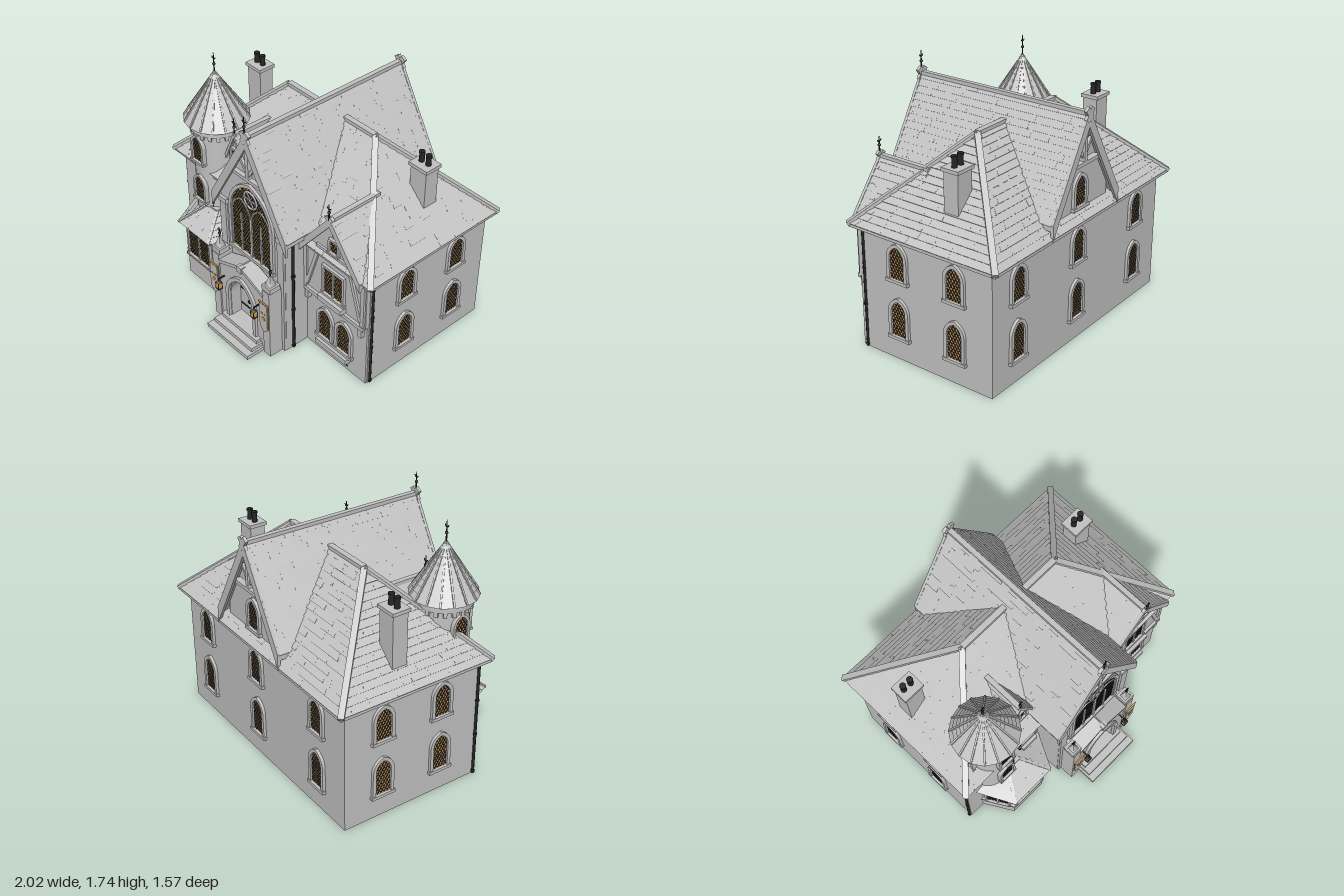
import * as THREE from 'three';
import { mergeGeometries } from 'three/addons/utils/BufferGeometryUtils.js';

const mat = (name, color) => {
  const m = new THREE.MeshStandardMaterial({ color });
  m.name = name;
  return m;
};
const V = (x, y, z) => new THREE.Vector3(x, y, z);

export function createModel() {
  const model = new THREE.Group();
  model.name = 'manorHouse';
  const stone = mat('stone', 0xc2c2c2), roofing = mat('roofTile', 0xc2c2c2);
  roofing.flatShading = true;
  const iron = mat('blackIron', 0x242424), glass = mat('amberGlass', 0xd9a051), gold = mat('goldTrim', 0xd29746);
  let seed = 7;
  const rand = () => (seed = (seed * 16807) % 2147483647) / 2147483647;

  // ---- helpers ----
  const add = (p, name, geo, m, x = 0, y = 0, z = 0) => {
    const o = new THREE.Mesh(geo, m);
    o.name = name;
    o.position.set(x, y, z);
    p.add(o);
    return o;
  };
  const group = (p, name, x = 0, y = 0, z = 0, ry = 0) => {
    const g = new THREE.Group();
    g.name = name;
    g.position.set(x, y, z);
    g.rotation.y = ry;
    p.add(g);
    return g;
  };
  const box = (p, name, m, [x0, x1], [y0, y1], [z0, z1]) =>
    add(p, name, new THREE.BoxGeometry(x1 - x0, y1 - y0, z1 - z0), m, (x0 + x1) / 2, (y0 + y1) / 2, (z0 + z1) / 2);
  const cyl = (p, name, m, r0, r1, y0, y1, x, z, n = 12) =>
    add(p, name, new THREE.CylinderGeometry(r1, r0, y1 - y0, n), m, x, (y0 + y1) / 2, z);
  // bar between two points: w is its level width, d its other thickness
  const beam = (p, name, m, a, b, w, d) => {
    const mid = a.clone().add(b).multiplyScalar(0.5);
    const o = add(p, name, new THREE.BoxGeometry(w, d, a.distanceTo(b)), m, mid.x, mid.y, mid.z);
    o.quaternion.setFromRotationMatrix(new THREE.Matrix4().lookAt(b, a, V(0, 1, 0)));
  };
  const poly = pts => new THREE.Shape(pts.map(([x, y]) => new THREE.Vector2(x, y)));
  const extrude = (shape, z0, z1) =>
    new THREE.ExtrudeGeometry(shape, { depth: z1 - z0, bevelEnabled: false }).translate(0, 0, z0);
  // floor plan given as x,z points, raised from y0 to y1
  const plan = (pts, y0, y1, holes = []) => {
    const s = poly(pts.map(([x, z]) => [x, -z]));
    s.holes = holes.map(h => poly(h.map(([x, z]) => [x, -z]).reverse()));
    return extrude(s, y0, y1).rotateX(-Math.PI / 2);
  };
  const rect = (x0, x1, z0, z1) => [[x0, z0], [x1, z0], [x1, z1], [x0, z1]];

  // pointed arch outline: half width a, height h, rise r (0 = rectangle)
  const arch = (a, h, r, dy = 0) => {
    if (!r) return [[-a, dy], [a, dy], [a, h + dy], [-a, h + dy]];
    const R = (a * a + r * r) / (2 * a), end = Math.atan2(r, R - a), side = [];
    for (let i = 0; i < 10; i++) side.push([a - R + R * Math.cos(end * i / 10), h - r + R * Math.sin(end * i / 10) + dy]);
    return [[-a, dy], [a, dy], ...side, [0, h + dy], ...side.reverse().map(([x, y]) => [-x, y])];
  };
  const archRing = (a, h, r, f, depth) => {
    const s = poly(arch(a + f, h + 2 * f, r && r + f, -f));
    s.holes = [poly(arch(a, h, r))];
    return extrude(s, -0.015, depth);
  };
  // leaded window facing +z, sill at its origin, glass running through the wall
  const leadedWindow = (p, x, y, z, a, h, r, ry = 0, f = 0.024, mullions = 0) => {
    const g = group(p, 'window', x, y, z, ry), bars = [];
    add(g, 'windowGlass', extrude(poly(arch(a, h, r)), -0.085, 0.006), glass);
    const R = r ? (a * a + r * r) / (2 * a) : 0;
    const inside = (u, v) => v >= 0 && v <= h && (v <= h - r || (Math.abs(u) - a + R) ** 2 + (v - h + r) ** 2 <= R * R);
    for (const s of [1.6, -1.6]) for (let c = -1.6 * a; c < h + 1.6 * a; c += 0.038) {
      const hit = [];
      for (let i = -20; i <= 20; i++) if (inside(a * i / 20, s * a * i / 20 + c)) hit.push(a * i / 20);
      if (hit.length < 2) continue;
      const u0 = hit[0], u1 = hit.at(-1);
      bars.push(new THREE.BoxGeometry((u1 - u0) * Math.hypot(1, s), 0.006, 0.004)
        .rotateZ(Math.atan(s)).translate((u0 + u1) / 2, s * (u0 + u1) / 2 + c, 0.007));
    }
    add(g, 'windowLeading', mergeGeometries(bars), iron);
    add(g, 'windowFrame', archRing(a, h, r, f, 0.02), stone);
    box(g, 'windowSill', stone, [-a - f * 1.3, a + f * 1.3], [-f * 0.9, 0], [0, 0.026]);
    for (let i = 1; i <= mullions; i++) {
      const u = -a + 2 * a * i / (mullions + 1);
      box(g, 'mullion', stone, [u - 0.007, u + 0.007], [0, r ? h - r : h], [0, 0.016]);
    }
    return g;
  };

  // overlapping tile courses on a roof face: a,b along the eave, c,d along the top
  const tiles = (p, name, a, b, c, d, rowH = 0.05, tileW = 0.07, t = 0.007) => {
    const n = V(0, 0, 0).crossVectors(b.clone().sub(a), d.clone().sub(a)).normalize();
    const at = (u, v, k = 0) => a.clone().lerp(b, u).lerp(d.clone().lerp(c, u), v).addScaledVector(n, k);
    const pos = [], quad = (...q) => [0, 1, 2, 0, 2, 3].forEach(i => pos.push(...q[i].toArray()));
    quad(a, b, c, d);
    const rows = Math.max(2, Math.round(a.clone().add(b).distanceTo(c.clone().add(d)) / 2 / rowH));
    for (let i = 0; i < rows; i++) {
      const v0 = i / rows, v1 = (i + 1) / rows;
      const cols = Math.max(1, Math.round(at(0, v0).distanceTo(at(1, v0)) / tileW));
      for (let j = 0; j <= cols; j++) {
        const off = i % 2 ? 0.5 : 0, u0 = Math.max(0, (j - off) / cols), u1 = Math.min(1, (j + 1 - off) / cols);
        if (u1 <= u0) continue;
        const k = t * (0.8 + 0.4 * rand()), e = 0.001;
        const l = at(u0, v0, k), r = at(u1, v0, k), tr = at(u1, v1, e), tl = at(u0, v1, e);
        quad(l, r, tr, tl);
        quad(at(u0, v0), at(u1, v0), r, l);
        quad(at(u0, v0), l, tl, tl);
        quad(r, at(u1, v0), tr, tr);
      }
    }
    const g = new THREE.BufferGeometry();
    g.setAttribute('position', new THREE.Float32BufferAttribute(pos, 3));
    g.computeVertexNormals();
    add(p, name, g, roofing);
  };
  const chevron = (w, yE, yA, t) => poly([[-w, yE - t], [0, yA - t], [w, yE - t], [w, yE], [0, yA], [-w, yE]]);
  const gableRoof = (p, w, yE, yA, z0, z1, board, back = false) => {
    add(p, 'gableRoofDeck', extrude(chevron(w, yE, yA, 0.035), z0, z1), stone);
    tiles(p, 'gableTiles', V(w, yE, z1), V(w, yE, z0), V(0, yA, z0), V(0, yA, z1));
    tiles(p, 'gableTiles', V(-w, yE, z0), V(-w, yE, z1), V(0, yA, z1), V(0, yA, z0));
    for (const z of back ? [z0, z1] : [z1]) add(p, 'bargeboard', extrude(chevron(w, yE + 0.01, yA + 0.015, board), z - 0.01, z + 0.01), stone);
    beam(p, 'ridgeCap', stone, V(0, yA - 0.006, z0), V(0, yA - 0.006, z1), 0.035, 0.025);
  };
  const finial = (p, x, y, z, h) => {
    const g = group(p, 'finial', x, y, z);
    cyl(g, 'finialRod', iron, 0.006, 0.003, -0.02, h, 0, 0, 6);
    add(g, 'finialKnob', new THREE.SphereGeometry(0.011, 8, 6), iron, 0, h * 0.4, 0);
    add(g, 'finialCrescent', new THREE.TorusGeometry(0.016, 0.004, 5, 10, Math.PI), iron, 0, h * 0.8, 0).rotation.z = Math.PI;
  };
  const drainpipe = (x, z, y0, y1) => {
    cyl(model, 'drainpipe', iron, 0.01, 0.01, y0, y1, x, z, 8);
    box(model, 'rainHopper', iron, [x - 0.016, x + 0.016], [y1 - 0.03, y1], [z - 0.016, z + 0.016]);
    for (const k of [0.01, 0.35, 0.65]) cyl(model, 'pipeCollar', iron, 0.014, 0.014, y0 + k * (y1 - y0), y0 + k * (y1 - y0) + 0.015, x, z, 8);
  };

  // ---- main walls: hollow shell with three rooms ----
  add(model, 'walls', plan([[-0.94, -0.71], [0.94, -0.71], [0.94, 0.33], [0.37, 0.33], [0.37, 0.53], [-0.27, 0.53], [-0.27, 0.33], [-0.94, 0.33]],
    0, 0.88, [rect(-0.87, -0.27, -0.64, 0.27), rect(-0.21, 0.31, -0.64, 0.47), rect(0.37, 0.87, -0.64, 0.27)]), stone);

  // ---- hipped main roof ----
  box(model, 'eaves', stone, [-0.99, 0.99], [0.86, 0.88], [-0.77, 0.385]);
  const FL = V(-0.99, 0.88, 0.39), FR = V(0.99, 0.88, 0.39), BR = V(0.99, 0.88, -0.77), BL = V(-0.99, 0.88, -0.77);
  const RL = V(-0.41, 1.445, -0.19), RR = V(0.41, 1.445, -0.19);
  for (const q of [[FL, FR, RR, RL], [FR, BR, RR, RR], [BR, BL, RL, RR], [BL, FL, RL, RL]]) tiles(model, 'mainRoofTiles', ...q);
  for (const [a, b] of [[FL, RL], [BL, RL], [FR, RR], [BR, RR], [RL, RR]]) beam(model, 'hipCap', stone, a, b, 0.04, 0.025);

  // ---- side and back windows ----
  for (const [y, h] of [[0.175, 0.25], [0.58, 0.225]]) {
    for (const z of [0.02, -0.43]) for (const s of [-1, 1]) leadedWindow(model, s * 0.94, y, z, 0.057, h, 0.08, s * Math.PI / 2);
    for (const x of [-0.65, 0.05, 0.69]) leadedWindow(model, x, y, -0.71, 0.057, h, 0.08, Math.PI);
  }
  leadedWindow(model, 0.05, 0.97, -0.71, 0.055, 0.2, 0.08, Math.PI);

  // ---- central gabled wing ----
  const hall = group(model, 'centralWing', 0.05);
  add(hall, 'gableWall', extrude(poly([[-0.32, 0.88], [0.32, 0.88], [0.32, 1.02], [0, 1.57], [-0.32, 1.02]]), -0.71, 0.53), stone);
  gableRoof(hall, 0.37, 0.97, 1.597, -0.765, 0.56, 0.11, true);
  // board ends crossing at each apex
  for (const z of [0.562, -0.767]) for (const s of [-1, 1])
    beam(hall, 'apexCross', stone, V(-s * 0.025, 1.545, z), V(s * 0.03, 1.625, z), 0.022, 0.04);
  finial(hall, 0, 1.62, 0.565, 0.12);
  for (const [z0, z1] of [[0.53, 0.56], [-0.755, -0.71]]) {
    box(hall, 'collarBeam', stone, [-0.16, 0.16], [1.25, 1.275], [z0, z1]);
    box(hall, 'kingPost', stone, [-0.014, 0.014], [1.27, 1.53], [z0, z1]);
    for (const s of [-1, 1]) beam(hall, 'gableStrut', stone, V(0, 1.29, (z0 + z1) / 2), V(s * 0.08, 1.41, (z0 + z1) / 2), 0.02, 0.02);
  }
  for (const s of [-1, 1]) {
    box(hall, 'cornerPier', stone, [s * 0.287 - 0.03, s * 0.287 + 0.03], [0, 0.93], [0.5, 0.545]);
    box(hall, 'pierCap', stone, [s * 0.287 - 0.038, s * 0.287 + 0.038], [0.92, 0.96], [0.49, 0.55]);
  }
  // great window with tracery
  const great = leadedWindow(hall, 0, 0.63, 0.53, 0.195, 0.56, 0.25, 0, 0.025, 3);
  for (const x of [-0.0975, 0.0975]) add(great, 'traceryArch', archRing(0.088, 0.42, 0.13, 0.01, 0.016), stone, x);
  add(great, 'traceryRing', new THREE.TorusGeometry(0.062, 0.008, 6, 24), stone, 0, 0.465, 0.01);
  for (let i = 0; i < 3; i++) add(great, 'traceryBar', new THREE.BoxGeometry(0.12, 0.007, 0.012), stone, 0, 0.465, 0.01).rotation.z = i * Math.PI / 3;

  // ---- porch ----
  const porch = group(model, 'porch', 0.05);
  const front = poly([[-0.23, 0], [0.23, 0], [0.23, 0.5], [0, 0.59], [-0.23, 0.5]]);
  front.holes = [poly(arch(0.12, 0.44, 0.17, 0.02))];
  add(porch, 'porchWall', extrude(front, 0.53, 0.64), stone);
  add(porch, 'doorArch', archRing(0.125, 0.385, 0.17, 0.03, 0.02), stone, 0, 0.085, 0.64);
  add(porch, 'doors', extrude(poly(arch(0.119, 0.44, 0.17, 0.02)), 0.53, 0.56), stone);
  box(porch, 'doorGap', iron, [-0.002, 0.002], [0.08, 0.45], [0.56, 0.564]);
  for (const s of [-1, 1]) {
    beam(porch, 'porchCoping', stone, V(s * 0.23, 0.505, 0.595), V(0, 0.595, 0.595), 0.115, 0.025);
    for (const y of [0.16, 0.3]) box(porch, 'hinge', iron, s < 0 ? [-0.11, -0.02] : [0.02, 0.11], [y, y + 0.008], [0.56, 0.566]);
    add(porch, 'doorRing', new THREE.TorusGeometry(0.01, 0.004, 5, 12), iron, s * 0.024, 0.22, 0.565);
    // buttress, pinnacle and banner
    const b = group(porch, 'buttress', s * 0.26);
    box(b, 'buttressShaft', stone, [-0.033, 0.033], [0, 0.56], [0.53, 0.65]);
    box(b, 'buttressCap', stone, [-0.042, 0.042], [0.56, 0.6], [0.56, 0.645]);
    add(b, 'pinnacle', new THREE.ConeGeometry(0.042, 0.1, 4).rotateY(Math.PI / 4), stone, 0, 0.64, 0.605);
    finial(b, 0, 0.67, 0.605, 0.085);
    add(b, 'bannerTrim', extrude(poly([[-0.043, 0.47], [-0.043, 0.26], [0, 0.217], [0.043, 0.26], [0.043, 0.47]]), 0.664, 0.67), gold);
    add(b, 'bannerCloth', extrude(poly([[-0.038, 0.466], [-0.038, 0.263], [0, 0.224], [0.038, 0.263], [0.038, 0.466]]), 0.67, 0.674), stone);
    box(b, 'bannerRod', gold, [-0.05, 0.05], [0.468, 0.476], [0.664, 0.674]);
    for (const [x, y, r] of [[0, 0.34, 0.018], [-0.014, 0.385, 0.009], [0.014, 0.385, 0.009]])
      add(b, 'bannerSpot', new THREE.CylinderGeometry(r, r, 0.004, 10).rotateX(Math.PI / 2), gold, x, y, 0.675);
    // lantern
    const l = group(porch, 'lantern', s * 0.185, 0, 0.69);
    box(l, 'lanternGlass', glass, [-0.015, 0.015], [0.32, 0.37], [-0.015, 0.015]);
    box(l, 'lanternBase', iron, [-0.017, 0.017], [0.313, 0.32], [-0.017, 0.017]);
    add(l, 'lanternCap', new THREE.ConeGeometry(0.025, 0.028, 4).rotateY(Math.PI / 4), iron, 0, 0.384, 0);
    box(l, 'lanternBracket', iron, [-0.004, 0.004], [0.395, 0.403], [-0.05, 0.004]);
    for (const x of [-0.015, 0.015]) for (const z of [-0.015, 0.015]) box(l, 'lanternPost', iron, [x - 0.0025, x + 0.0025], [0.32, 0.37], [z - 0.0025, z + 0.0025]);
  }
  box(porch, 'keystone', stone, [-0.025, 0.025], [0.56, 0.605], [0.62, 0.66]);
  [[0.215, 0, 0.03, 0.785], [0.2, 0.03, 0.058, 0.735], [0.185, 0.058, 0.085, 0.68]].forEach(([w, y0, y1, z]) => box(porch, 'step', stone, [-w, w], [y0, y1], [0.56, z]));

  // ---- half-timbered right wing ----
  const wing = group(model, 'timberWing', 0.645);
  box(wing, 'wingLowerWall', stone, [-0.275, 0.29], [0, 0.5], [0.33, 0.345]);
  add(wing, 'wingGableWall', extrude(poly([[-0.275, 0.5], [0.29, 0.5], [0.29, 0.86], [0, 1.19], [-0.275, 0.86]]), 0.28, 0.36), stone);
  gableRoof(wing, 0.275, 0.885, 1.23, 0, 0.405, 0.07);
  for (const s of [-1, 1]) beam(wing, 'apexCross', stone, V(-s * 0.02, 1.195, 0.408), V(s * 0.025, 1.25, 0.408), 0.022, 0.03);
  finial(wing, 0, 1.25, 0.415, 0.1);
  for (const y of [0.48, 0.865]) box(wing, 'timberRail', stone, [-0.27, 0.285], [y, y + 0.03], [0.36, 0.38]);
  box(wing, 'timberCollar', stone, [-0.16, 0.16], [0.91, 0.93], [0.36, 0.375]);
  box(wing, 'timberKingPost', stone, [-0.012, 0.012], [1.07, 1.17], [0.36, 0.375]);
  for (const s of [-1, 1]) {
    box(wing, 'timberPost', stone, [s * 0.265 - 0.015, s * 0.265 + 0.015], [0.5, 0.87], [0.36, 0.375]);
    beam(wing, 'timberBrace', stone, V(s * 0.15, 0.86, 0.365), V(s * 0.25, 0.54, 0.365), 0.022, 0.026);
    box(wing, 'jettyCorbel', stone, [s * 0.25 - 0.015, s * 0.25 + 0.015], [0.41, 0.48], [0.34, 0.375]);
    leadedWindow(wing, s * 0.088, 0.15, 0.345, 0.056, 0.235, 0.08);
    beam(wing, 'planterBracket', iron, V(s * 0.12, 0.09, 0.38), V(s * 0.12, 0.035, 0.345), 0.01, 0.01);
  }
  leadedWindow(wing, 0, 0.575, 0.36, 0.085, 0.205, 0, 0, 0.018, 1);
  leadedWindow(wing, 0, 0.945, 0.36, 0.032, 0.085, 0, 0, 0.014);
  box(wing, 'upperPlanter', stone, [-0.11, 0.11], [0.515, 0.555], [0.36, 0.41]);
  box(wing, 'planter', stone, [-0.145, 0.145], [0.085, 0.125], [0.345, 0.39]);

  // ---- round tower ----
  const tower = group(model, 'tower', -0.655, 0, 0.245);
  cyl(tower, 'towerWall', stone, 0.17, 0.17, 0, 1.22, 0, 0, 32);
  cyl(tower, 'towerBand', stone, 0.195, 0.195, 1.2, 1.27, 0, 0, 32);
  for (let i = 0; i < 20; i++) box(group(tower, 'corbel', 0, 0, 0, i * Math.PI / 10), 'corbelBlock', stone, [-0.012, 0.012], [1.165, 1.2], [0.16, 0.19]);
  const cone = [new THREE.Vector2(0.001, 1.25)];
  for (let i = 0; i < 9; i++) for (const k of [0, 0.95]) cone.push(new THREE.Vector2(0.22 * (1 - (i + k) / 9) + 0.007 * (1 - k), 1.25 + 0.35 * (i + k) / 9));
  cone.push(new THREE.Vector2(0, 1.605));
  add(tower, 'coneRoof', new THREE.LatheGeometry(cone, 16), roofing);
  for (let i = 0; i < 16; i++) {
    const t = i * Math.PI / 8;
    beam(tower, 'coneRib', stone, V(0.223 * Math.sin(t), 1.255, 0.223 * Math.cos(t)), V(0, 1.6, 0), 0.012, 0.014);
  }
  finial(tower, 0, 1.6, 0, 0.14);
  for (const y of [0.64, 0.965]) leadedWindow(tower, 0, y, 0.168, 0.048, 0.19, 0.07, 0, 0.018);
  leadedWindow(tower, -0.168, 0.965, 0, 0.048, 0.19, 0.07, -Math.PI / 2, 0.018);

  // ---- bay window ----
  const bay = group(model, 'bayWindow', -0.565);
  const bayPlan = k => [[-0.25 - k, 0.3], [-0.25 - k, 0.33], [-0.137 - k * 0.5, 0.52 + k], [0.137 + k * 0.5, 0.52 + k], [0.25 + k, 0.33], [0.25 + k, 0.3]];
  for (const [k, y0, y1] of [[0.008, 0, 0.165], [0.02, 0.165, 0.185], [0, 0.185, 0.45], [0.018, 0.425, 0.455]]) add(bay, 'bayWall', plan(bayPlan(k), y0, y1), stone);
  add(bay, 'bayEaves', plan(bayPlan(0.045), 0.455, 0.465), stone);
  const e = [V(-0.305, 0.465, 0.31), V(-0.17, 0.465, 0.575), V(0.17, 0.465, 0.575), V(0.305, 0.465, 0.31)];
  const top = [V(-0.05, 0.595, 0.33), V(-0.05, 0.595, 0.39), V(0.05, 0.595, 0.39), V(0.05, 0.595, 0.33)];
  for (let i = 0; i < 3; i++) tiles(bay, 'bayTiles', e[i], e[i + 1], top[i + 1], top[i], 0.045, 0.06);
  for (const i of [1, 2]) beam(bay, 'bayHipCap', stone, e[i], top[i], 0.02, 0.015);
  box(bay, 'bayRidge', stone, [-0.055, 0.055], [0.585, 0.605], [0.33, 0.4]);
  finial(bay, 0, 0.6, 0.385, 0.095);
  leadedWindow(bay, 0, 0.195, 0.52, 0.115, 0.215, 0, 0, 0.014, 1);
  for (const s of [-1, 1]) leadedWindow(bay, s * 0.1935, 0.195, 0.425, 0.075, 0.215, 0, s * 1.034, 0.014, 1);

  // ---- dormer and the window beneath it ----
  const dormer = group(model, 'dormer', -0.4);
  add(dormer, 'dormerWall', extrude(poly([[-0.085, 0.88], [0.085, 0.88], [0.085, 1.06], [0, 1.23], [-0.085, 1.06]]), 0.05, 0.285), stone);
  gableRoof(dormer, 0.105, 1.03, 1.26, 0, 0.3, 0.045);
  finial(dormer, 0, 1.27, 0.3, 0.11);
  leadedWindow(dormer, 0, 1.02, 0.285, 0.04, 0.1, 0, 0, 0.016, 1);
  leadedWindow(model, -0.385, 0.64, 0.33, 0.055, 0.185, 0.075);
  box(model, 'planter', stone, [-0.45, -0.32], [0.57, 0.605], [0.33, 0.375]);

  // ---- chimneys ----
  for (const [x, z, y] of [[-0.812, -0.265, 1.385], [0.74, -0.3, 1.36]]) {
    const c = group(model, 'chimney', x, 0, z);
    box(c, 'chimneyStack', stone, [-0.066, 0.066], [0.95, y], [-0.055, 0.055]);
    box(c, 'chimneyCap', stone, [-0.078, 0.078], [y - 0.025, y], [-0.066, 0.066]);
    for (const s of [-1, 1]) {
      cyl(c, 'chimneyPot', iron, 0.019, 0.017, y, y + 0.06, s * 0.029, 0);
      cyl(c, 'chimneyPotRim', iron, 0.021, 0.021, y + 0.06, y + 0.075, s * 0.029, 0);
    }
  }

  // ---- drainpipes ----
  drainpipe(-0.945, 0.315, 0, 0.87);
  drainpipe(0.94, 0.31, 0, 0.87);
  drainpipe(0.375, 0.47, 0, 0.96);
  drainpipe(-0.46, 0.345, 0.45, 0.87);
  return model;
}
